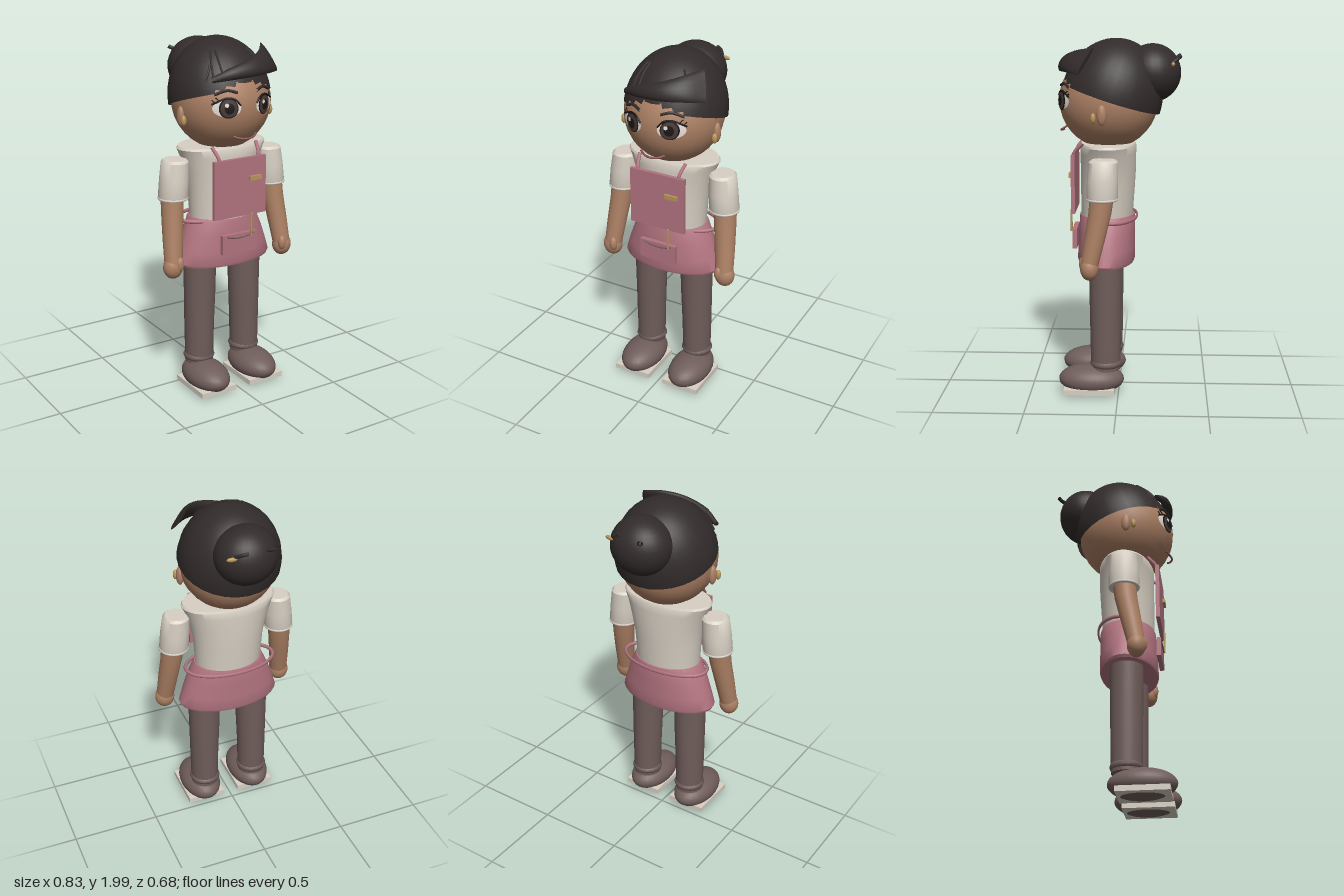
import * as THREE from 'three';
import { toCreasedNormals } from 'three/addons/utils/BufferGeometryUtils.js';

const mat = (name, color) => Object.assign(new THREE.MeshStandardMaterial({ color }), { name });
const V = (x, y, z) => new THREE.Vector3(x, y, z);

export function createModel() {
  const skin = mat('skin', 0xac8064), hair = mat('hair', 0x322b2b), shirt = mat('shirt', 0xd8d0c4);
  const pink = mat('apron', 0xb27480), brown = mat('trousers', 0x6f5d5a), gold = mat('gold', 0xb8955a);
  const lips = mat('lips', 0x8a5256), white = mat('eyeWhite', 0xe6e0d8), iris = mat('iris', 0x4a3a36);
  const black = mat('pupil', 0x1c1717);
  const model = new THREE.Group();

  const add = (name, geo, material, pos = [0, 0, 0], rot = [0, 0, 0]) => {
    const m = new THREE.Mesh(geo, material);
    m.name = name;
    m.position.set(...pos);
    m.rotation.set(...rot);
    model.add(m);
    return m;
  };
  const ball = (rx, ry, rz) => new THREE.SphereGeometry(1, 28, 18).scale(rx, ry, rz);
  const box = (w, h, d) => new THREE.BoxGeometry(w, h, d);
  const tube = (points, r) =>
    new THREE.TubeGeometry(new THREE.CatmullRomCurve3(points.map(p => V(...p))), 16, r, 8);

  // Closed body through elliptical sections [x, y, z, rx, rz], listed from the top down
  const loft = rings => {
    const n = rings.length - 1;
    const g = new THREE.CylinderGeometry(1, 1, 1, 32, n), p = g.attributes.position;
    for (let i = 0; i < p.count; i++) {
      const [x, y, z, rx, rz] = rings[Math.round((0.5 - p.getY(i)) * n)];
      p.setXYZ(i, x + p.getX(i) * rx, y, z + p.getZ(i) * rz);
    }
    return toCreasedNormals(g, 0.7);
  };

  // Head
  const head = { y: 1.66, z: 0.06, r: 0.275 };
  add('head', ball(0.27, 0.27, head.r), skin, [0, head.y, head.z]);
  const faceZ = (x, y) =>
    head.z + head.r * Math.sqrt(Math.max(0, 1 - (x / 0.27) ** 2 - ((y - head.y) / 0.27) ** 2));

  // Thin elliptical plate following the face
  const patch = (cx, cy, rx, ry, lift) => {
    const g = new THREE.RingGeometry(0, 1, 28, 5), p = g.attributes.position;
    for (let i = 0; i < p.count; i++) {
      const x = cx + p.getX(i) * rx, y = cy + p.getY(i) * ry;
      p.setXYZ(i, x, y, faceZ(x, y) + lift);
    }
    g.computeVertexNormals();
    return g;
  };
  const faceLine = (points, r, lift) => tube(points.map(([x, y]) => [x, y, faceZ(x, y) + lift]), r);

  for (const s of [-1, 1]) {
    // Eyes and brows
    add('eyeWhite', patch(s * 0.115, 1.665, 0.068, 0.046, 0.003), white);
    add('eyeRim', patch(s * 0.11, 1.665, 0.047, 0.053, 0.005), black);
    add('iris', patch(s * 0.11, 1.665, 0.041, 0.047, 0.008), iris);
    add('pupil', patch(s * 0.11, 1.665, 0.024, 0.029, 0.011), black);
    add('eyeGlint', patch(s * 0.11 - 0.014, 1.683, 0.01, 0.011, 0.014), white);
    add('upperLid', faceLine([[s * 0.05, 1.68], [s * 0.08, 1.712], [s * 0.12, 1.718], [s * 0.16, 1.7],
      [s * 0.185, 1.685]], 0.005, 0.004), black);
    for (const k of [0, 1])
      add('eyelash', faceLine([[s * (0.15 + k * 0.02), 1.702 - k * 0.01],
        [s * (0.168 + k * 0.016), 1.722 - k * 0.013]], 0.003, 0.008), black);
    add('brow', faceLine([[s * 0.06, 1.745], [s * 0.11, 1.757], [s * 0.17, 1.735]], 0.008, 0.004), hair);
    // Ears and earrings
    add('ear', ball(0.02, 0.055, 0.026), skin, [s * 0.267, 1.6, 0.085]);
    add('earring', ball(0.015, 0.028, 0.014), gold, [s * 0.275, 1.585, 0.13]);
  }
  add('mouth', tube([[-0.072, 1.508, 0.295], [-0.04, 1.497, 0.315], [0, 1.494, 0.325],
    [0.04, 1.497, 0.315], [0.072, 1.508, 0.295]], 0.006), lips);

  // Hair cap, tilted back
  const hairCentre = V(0, 1.67, 0.045), hairSize = V(0.281, 0.333, 0.282), tilt = -0.31;
  const cap = new THREE.SphereGeometry(1, 28, 14, 0, Math.PI * 2, 0, Math.PI / 2);
  add('hairCap', cap.scale(...hairSize.toArray()), hair, hairCentre.toArray(), [tilt, 0, 0])
    .material.side = THREE.DoubleSide;
  const onHair = ([x, y, z]) => {
    const d = V(x, y, z).sub(hairCentre), axis = V(1, 0, 0);
    d.applyAxisAngle(axis, -tilt).divide(hairSize).normalize().multiply(hairSize);
    return d.applyAxisAngle(axis, tilt).add(hairCentre).toArray();
  };

  // Swept fringe, widening towards the model's left
  const sweep = new THREE.CatmullRomCurve3(
    [V(-0.18, 1.81, 0.255), V(-0.08, 1.84, 0.295), V(0.06, 1.865, 0.298), V(0.16, 1.88, 0.25), V(0.235, 1.885, 0.17)]);
  const fringe = new THREE.CylinderGeometry(1, 1, 1, 16, 16), fp = fringe.attributes.position;
  for (let i = 0; i < fp.count; i++) {
    const t = 0.5 - fp.getY(i), c = sweep.getPoint(t);
    const out = c.clone().sub(hairCentre).normalize();
    const wide = V(-0.028 * t, 0.012 + 0.06 * t, -0.01 - 0.032 * t);
    c.addScaledVector(wide, fp.getX(i)).addScaledVector(out, fp.getZ(i) * (0.012 + 0.016 * Math.sin(t * Math.PI)));
    fp.setXYZ(i, c.x, c.y, c.z);
  }
  add('fringe', toCreasedNormals(fringe, 0.8), hair);

  // Loose strands
  const strands = [
    [[-0.12, 1.96, 0.14], [-0.155, 1.92, 0.2], [-0.178, 1.84, 0.26]],
    [[-0.095, 1.95, 0.15], [-0.11, 1.91, 0.21], [-0.112, 1.83, 0.26]],
    [[-0.16, 1.9, 0.2], [-0.185, 1.86, 0.22], [-0.2, 1.8, 0.22]],
    [[0.11, 1.95, 0.15], [0.135, 1.93, 0.18], [0.15, 1.9, 0.2]],
  ];
  for (const s of strands) add('hairStrand', tube(s.map(onHair), 0.006), hair);

  // Bun with pins
  add('bun', ball(0.172, 0.16, 0.157), hair, [0, 1.81, -0.183]);
  add('bunStrand', tube([[-0.055, 1.88, -0.29], [-0.08, 1.89, -0.32], [-0.1, 1.9, -0.335]], 0.011), hair);
  add('bunStrand', tube([[0.05, 1.9, -0.335], [0.08, 1.89, -0.32], [0.105, 1.87, -0.29]], 0.01), hair);
  add('bunPin', ball(0.028, 0.012, 0.01), gold, [0.122, 1.862, -0.295], [0, -0.15, 0]);

  // Shirt body
  add('shirtBody', loft([[0, 1.425, 0.062, 0.262, 0.15], [0, 1.413, 0.062, 0.27, 0.156],
    [0, 1.37, 0.062, 0.25, 0.156], [0, 1.28, 0.062, 0.222, 0.155], [0, 1.18, 0.065, 0.202, 0.152],
    [0, 1.0, 0.07, 0.19, 0.144]]), shirt);

  // Apron
  add('apronSkirt', loft([[0, 1.022, 0.067, 0.198, 0.153], [0, 1.01, 0.067, 0.207, 0.156],
    [0, 0.93, 0.07, 0.243, 0.159], [0, 0.84, 0.072, 0.275, 0.161], [0, 0.77, 0.073, 0.296, 0.163],
    [0, 0.755, 0.073, 0.288, 0.158]]), pink);
  add('apronBib', box(0.33, 0.325, 0.022), pink, [0, 1.207, 0.25]);
  const tie = new THREE.TorusGeometry(1, 0.04, 8, 48).rotateX(Math.PI / 2).scale(0.262, 0.28, 0.142);
  add('apronTie', tie, pink, [0, 1.01, 0.042]);
  for (const s of [-1, 1])
    add('apronStrap', tube([[s * 0.122, 1.35, 0.25], [s * 0.128, 1.385, 0.24], [s * 0.14, 1.435, 0.195]], 0.01), pink);
  add('pocket', box(0.22, 0.11, 0.025), pink, [0, 0.89, 0.247]);
  add('pocketTrim', tube([[-0.085, 0.938, 0.26], [-0.04, 0.925, 0.262], [0.04, 0.925, 0.262],
    [0.085, 0.938, 0.26]], 0.004), brown);
  add('nameBadge', box(0.078, 0.024, 0.015), gold, [0.092, 1.253, 0.268]);
  add('pen', new THREE.CylinderGeometry(0.006, 0.006, 0.125, 10), gold, [0.07, 0.99, 0.266]);

  for (const s of [-1, 1]) {
    // Arms
    add('sleeve', loft([[s * 0.3, 1.368, 0.073, 0.062, 0.065], [s * 0.301, 1.355, 0.074, 0.074, 0.079],
      [s * 0.309, 1.26, 0.078, 0.08, 0.083], [s * 0.316, 1.17, 0.08, 0.082, 0.085],
      [s * 0.317, 1.15, 0.08, 0.078, 0.08]]), shirt);
    add('sleeveCuff', new THREE.TorusGeometry(1, 0.1, 8, 32).rotateX(Math.PI / 2).scale(0.077, 0.08, 0.079),
      shirt, [s * 0.317, 1.157, 0.08]);
    add('arm', loft([[s * 0.322, 1.2, 0.078, 0.063, 0.065], [s * 0.33, 1.08, 0.092, 0.061, 0.062],
      [s * 0.345, 0.94, 0.12, 0.056, 0.056], [s * 0.358, 0.8, 0.148, 0.05, 0.048]]), skin);
    add('hand', ball(0.056, 0.065, 0.05), skin, [s * 0.361, 0.785, 0.148]);
    add('thumb', ball(0.023, 0.042, 0.022), skin, [s * 0.338, 0.805, 0.183]);

    // Legs and shoes
    add('trouserLeg', loft([[s * 0.147, 0.85, 0.073, 0.095, 0.093], [s * 0.148, 0.6, 0.073, 0.09, 0.09],
      [s * 0.152, 0.38, 0.072, 0.084, 0.087], [s * 0.153, 0.15, 0.072, 0.08, 0.083]]), brown);
    add('trouserCuff', new THREE.TorusGeometry(0.068, 0.022, 8, 20).rotateX(Math.PI / 2), brown,
      [s * 0.153, 0.185, 0.07]);
    add('shoe', ball(0.117, 0.084, 0.185), brown, [s * 0.158, 0.09, 0.153]);
    add('sole', box(0.225, 0.03, 0.285), shirt, [s * 0.158, 0.04, 0.162]);
  }
  return model;
}
